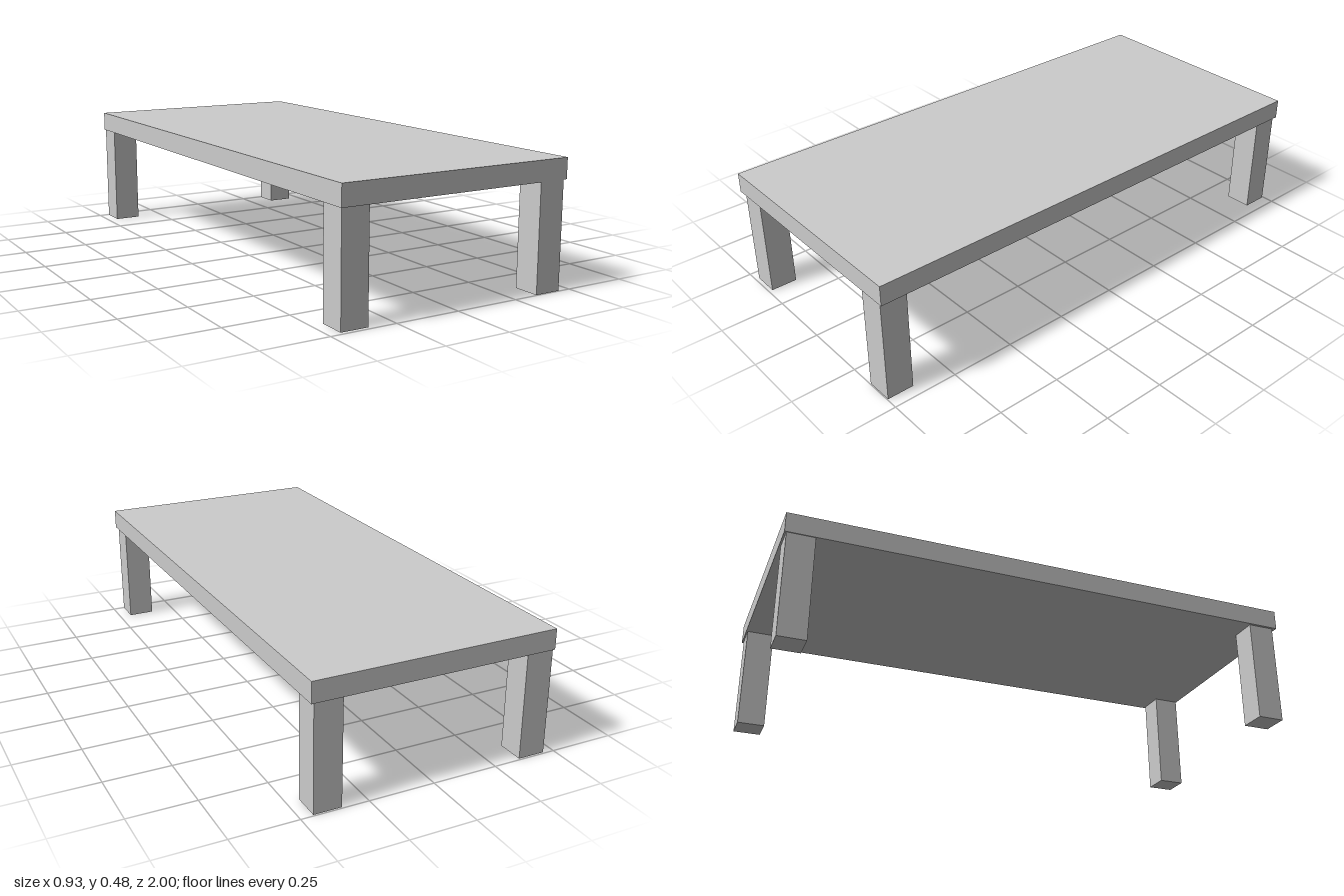
import * as THREE from 'three';

export function createModel() {
  const group = new THREE.Group();
  const material = new THREE.MeshStandardMaterial({ color: 0xcccccc, flatShading: true });

  const addBox = (name, size, position) => {
    const mesh = new THREE.Mesh(new THREE.BoxGeometry(...size), material);
    mesh.name = name;
    mesh.position.set(...position);
    group.add(mesh);
  };

  // Slab top
  const legHeight = 0.4, topThickness = 0.077;
  addBox('tableTop', [0.927, topThickness, 2], [0, legHeight + topThickness / 2, 0]);

  // Square legs, placed slightly unevenly near the corners
  const legWidth = 0.104;
  const legs = [
    ['frontLeftLeg', 0.4, 0.945],
    ['frontRightLeg', -0.402, 0.933],
    ['backLeftLeg', 0.4, -0.942],
    ['backRightLeg', -0.408, -0.941],
  ];
  for (const [name, x, z] of legs) {
    addBox(name, [legWidth, legHeight, legWidth], [x, legHeight / 2, z]);
  }

  return group;
}
